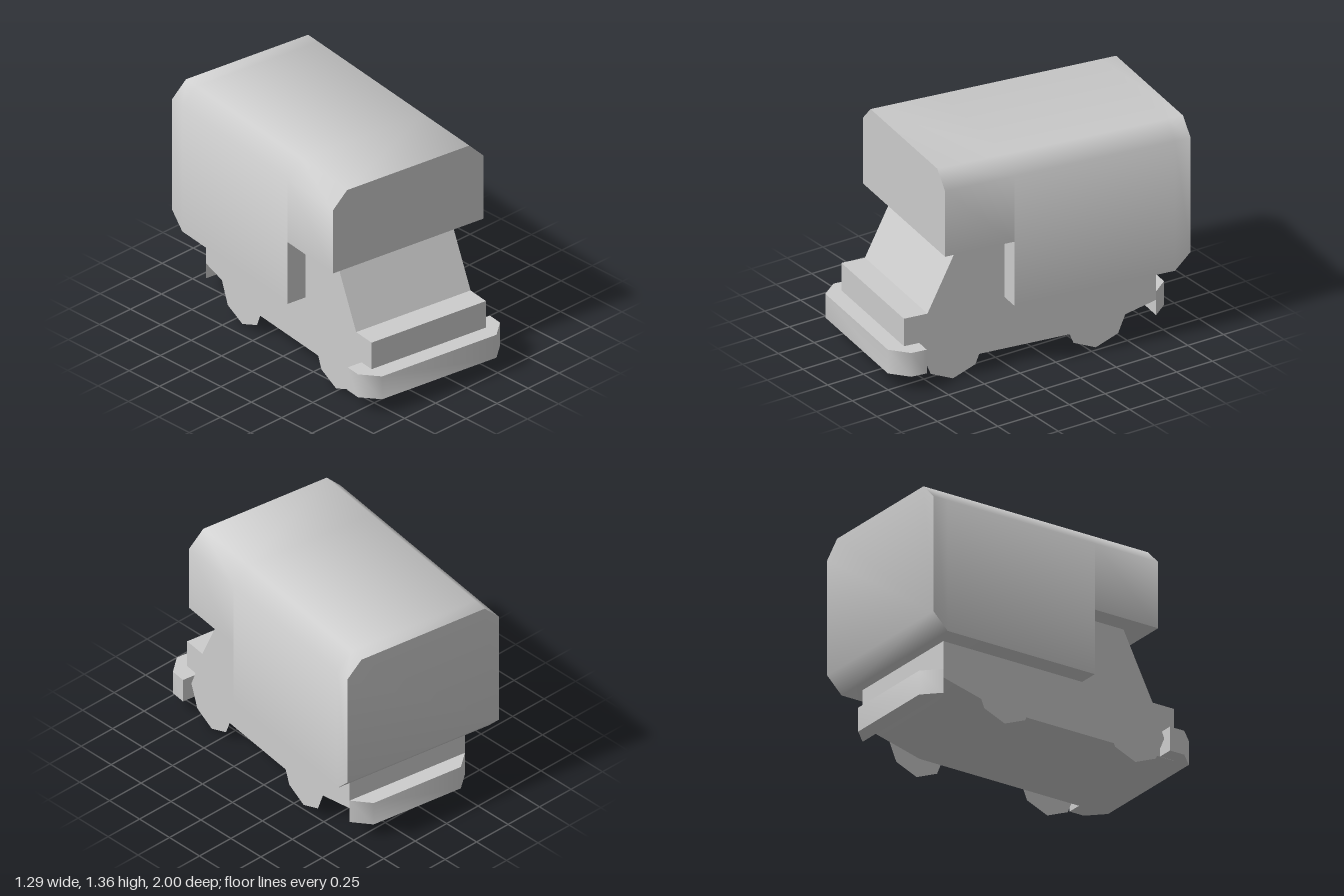
import * as THREE from 'three';
import { toCreasedNormals } from 'three/addons/utils/BufferGeometryUtils.js';

const CREASE = THREE.MathUtils.degToRad(50);
const paint = new THREE.MeshStandardMaterial({ color: 0xcccccc, side: THREE.DoubleSide });
paint.name = 'light grey';

function part(name, geometry) {
  const mesh = new THREE.Mesh(geometry, paint);
  mesh.name = name;
  return mesh;
}

// Solid prism from a 2D outline, centred on its depth
function prism(points, depth) {
  const shape = new THREE.Shape(points.map(([a, b]) => new THREE.Vector2(a, b)));
  return new THREE.ExtrudeGeometry(shape, { depth, bevelEnabled: false }).translate(0, 0, -depth / 2);
}

// Capped skin over cross-sections, ordered back to front; each loop runs counter-clockwise seen from +z
function loft(sections) {
  const pos = [];
  const tri = (a, b, c) => {
    const area = b.clone().sub(a).cross(c.clone().sub(a)).length();
    if (area > 1e-8) pos.push(...a.toArray(), ...b.toArray(), ...c.toArray());
  };
  const n = sections[0].length;
  for (let s = 0; s < sections.length - 1; s++) {
    const A = sections[s], B = sections[s + 1];
    for (let i = 0; i < n; i++) {
      const j = (i + 1) % n;
      tri(A[i], A[j], B[j]);
      tri(A[i], B[j], B[i]);
    }
  }
  const back = sections[0], front = sections[sections.length - 1];
  for (let i = 1; i < n - 1; i++) {
    tri(back[0], back[i + 1], back[i]);
    tri(front[0], front[i], front[i + 1]);
  }
  const g = new THREE.BufferGeometry();
  g.setAttribute('position', new THREE.Float32BufferAttribute(pos, 3));
  g.computeVertexNormals();
  return toCreasedNormals(g, CREASE);
}

// Living box: chamfered roof edges, an overhang above the cab and a chamfered lower rear edge
function livingBox() {
  const w = 0.535, c = 0.1, top = 1.36;
  const section = (z, bottom) => [
    [-w, bottom], [w, bottom], [w, top - c], [w - c, top], [-w + c, top], [-w, top - c],
  ].map(([x, y]) => new THREE.Vector3(x, y, z));
  return loft([
    section(-0.929, 0.53), section(-0.828, 0.43), section(0.203, 0.43),
    section(0.203, 0.84), section(0.647, 0.84),
  ]);
}

// Chassis, hood and cab share one side profile (z, y)
function body() {
  const g = prism([
    [-0.77, 0.2], [-0.37, 0.1], [0.848, 0.1], [0.848, 0.43], [0.697, 0.43],
    [0.493, 0.84], [0.203, 0.84], [0.203, 0.43], [-0.77, 0.43],
  ], 0.814);
  return toCreasedNormals(g.rotateY(-Math.PI / 2), CREASE);
}

// Bumper from a plan outline (x, z)
function bumper(plan) {
  return toCreasedNormals(prism(plan, 0.152).rotateX(Math.PI / 2).translate(0, 0.178, 0), CREASE);
}

export function createModel() {
  const model = new THREE.Group();
  model.name = 'camper';

  // The vehicle stands slightly turned
  const vehicle = new THREE.Group();
  vehicle.name = 'vehicle';
  vehicle.rotation.y = -0.1452;
  vehicle.position.set(-0.022, 0, -0.003);
  model.add(vehicle);

  vehicle.add(part('livingBox', livingBox()), part('cabAndChassis', body()));

  vehicle.add(part('frontBumper', bumper([
    [-0.506, 0.75], [0.506, 0.75], [0.506, 0.85], [0.407, 0.951], [-0.407, 0.951], [-0.506, 0.85],
  ])));
  vehicle.add(part('rearBumper', bumper([
    [-0.407, -0.77], [-0.307, -0.87], [0.307, -0.87], [0.407, -0.77],
  ])));

  // Flat eight-sided wheels
  for (const [side, sideName] of [[1, 'Left'], [-1, 'Right']]) {
    for (const [z, end] of [[0.551, 'front'], [-0.365, 'rear']]) {
      const wheel = part(`${end}${sideName}Wheel`, new THREE.CircleGeometry(0.202, 8));
      wheel.rotation.y = side * Math.PI / 2;
      wheel.position.set(side * 0.444, 0.202, z);
      vehicle.add(wheel);
    }
  }
  return model;
}
